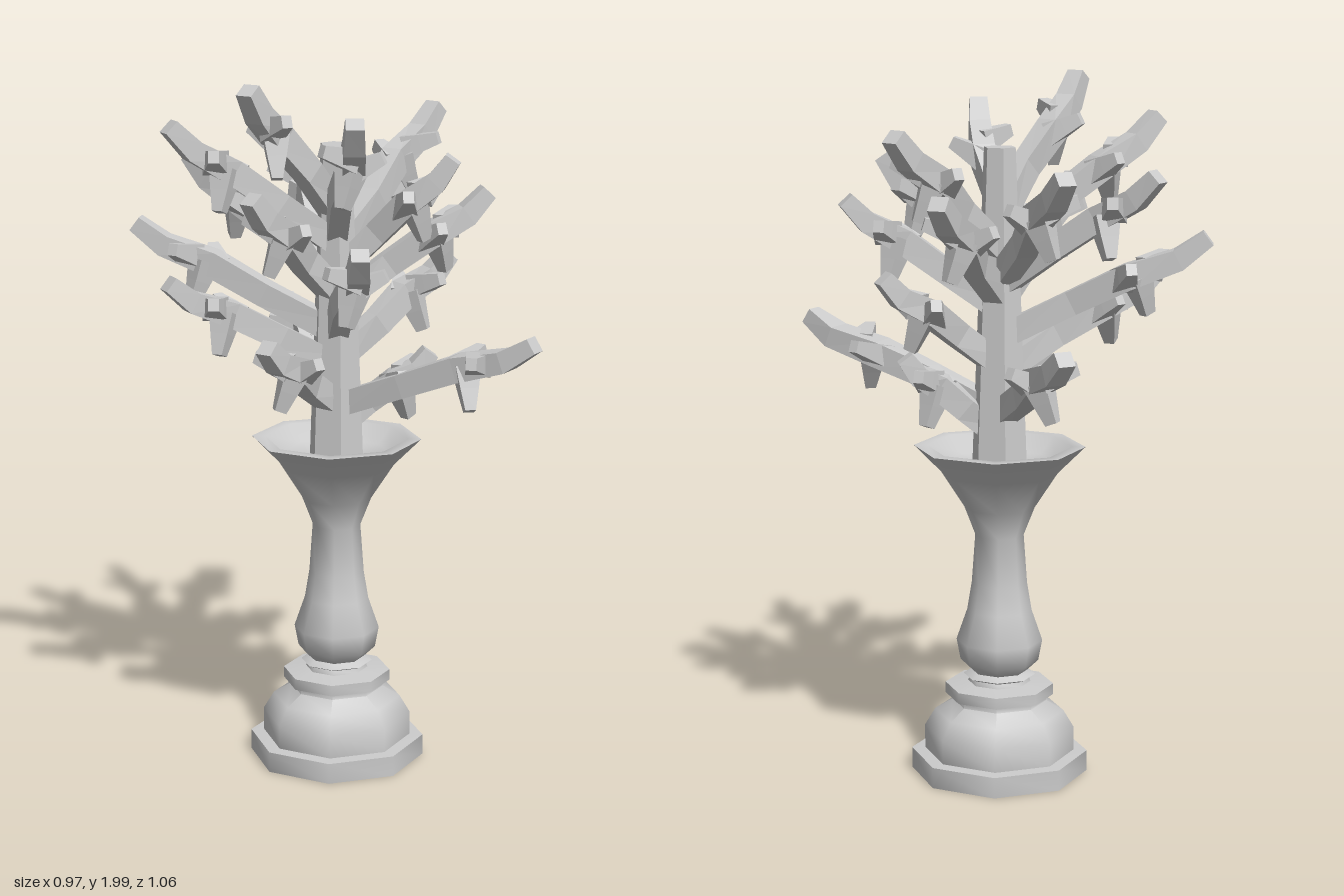
import * as THREE from 'three';
import { toCreasedNormals } from 'three/addons/utils/BufferGeometryUtils.js';

const CX = 0.008, CZ = -0.053; // shared axis of vase and trunk
const UP = new THREE.Vector3(0, 1, 0);
const smooth = new THREE.MeshStandardMaterial({ color: 0xcccccc });
const flat = new THREE.MeshStandardMaterial({ color: 0xcccccc, flatShading: true });

function addMesh(parent, name, geometry, material) {
  const mesh = new THREE.Mesh(geometry, material);
  mesh.name = name;
  parent.add(mesh);
  return mesh;
}

// Limb of rectangular section lofted along a polyline, with half width and half height per point
function limb(points, widths, heights) {
  const pos = [], idx = [], last = points.length - 1;
  points.forEach((p, i) => {
    const dir = points[Math.min(i + 1, last)].clone().sub(points[Math.max(i - 1, 0)]).normalize();
    const side = dir.clone().cross(UP).normalize();
    const up = side.clone().cross(dir);
    for (let k = 0; k < 4; k++) {
      const a = k === 1 || k === 2 ? 1 : -1, b = k < 2 ? -1 : 1;
      const c = p.clone().addScaledVector(side, a * widths[i]).addScaledVector(up, b * heights[i]);
      pos.push(c.x, c.y, c.z);
    }
  });
  for (let i = 0; i < last; i++) {
    for (let k = 0; k < 4; k++) {
      const a = i * 4 + k, b = i * 4 + (k + 1) % 4;
      idx.push(a, b + 4, b, a, a + 4, b + 4);
    }
  }
  const e = last * 4;
  idx.push(0, 1, 2, 0, 2, 3, e, e + 2, e + 1, e, e + 3, e + 2);
  const indexed = new THREE.BufferGeometry();
  indexed.setAttribute('position', new THREE.Float32BufferAttribute(pos, 3));
  indexed.setIndex(idx);
  const geometry = indexed.toNonIndexed();
  geometry.computeVertexNormals();
  return geometry;
}

// Branch from the trunk to a tip, with two side twigs and one hanging twig
function makeBranch(tip, i, wide = 1) {
  const group = new THREE.Group();
  group.name = 'branch';
  const end = new THREE.Vector3(...tip);
  const start = new THREE.Vector3(CX, 0.8 * end.y + 0.02, CZ);
  const out = end.clone().sub(start).setY(0).normalize();
  const side = out.clone().cross(UP);
  const hand = i % 2 ? 1 : -1;
  const at = (t, sideways, lift) => start.clone().lerp(end, t)
    .addScaledVector(side, sideways * hand).addScaledVector(UP, lift);

  // Slight zigzag that sags before lifting at the tip
  const path = [start, at(0.35, 0.008, 0), at(0.62, -0.012, 0), at(0.86, -0.005, -0.02), end];
  addMesh(group, 'branchStem', limb(path,
    [0.028, 0.029, 0.032 * wide, 0.03 * wide, 0.025], [0.034, 0.034, 0.036, 0.03, 0.023]), flat);

  const addTwig = (t, sideways, forward, lift) => {
    const root = at(t, -0.01, -0.008);
    const twigEnd = root.clone().addScaledVector(side, sideways * hand * wide)
      .addScaledVector(out, forward).addScaledVector(UP, lift);
    addMesh(group, 'twig', limb([root, root.clone().lerp(twigEnd, 0.5), twigEnd],
      [0.036, 0.026, 0.015], [0.034, 0.025, 0.017]), flat);
  };
  addTwig(0.72, 0.09, 0.035, 0.03);
  addTwig(0.6, -0.085, 0.03, 0.045);
  addTwig(0.66, 0.03, 0.03, -0.11);
  return group;
}

export function createModel() {
  const model = new THREE.Group();
  model.name = 'vaseWithBranches';

  // Eight-sided turned vase: foot, dome, collar rings, bulb, flared mouth with a shallow bowl
  const profile = [
    [0, 0], [0.253, 0], [0.253, 0.06], [0.215, 0.062], [0.215, 0.13], [0.185, 0.18], [0.135, 0.21],
    [0.135, 0.222], [0.155, 0.228], [0.155, 0.26], [0.09, 0.267], [0.085, 0.28], [0.103, 0.288],
    [0.08, 0.3], [0.112, 0.33], [0.123, 0.39], [0.092, 0.48], [0.079, 0.56], [0.069, 0.7],
    [0.1, 0.78], [0.165, 0.88], [0.243, 0.957], [0.205, 0.957], [0.16, 0.91], [0, 0.9],
  ].map(([r, y]) => new THREE.Vector2(r, y));
  const vase = addMesh(model, 'vase', toCreasedNormals(new THREE.LatheGeometry(profile, 8), 1), smooth);
  vase.position.set(CX, 0, CZ);

  // Tapered six-sided trunk
  const trunk = addMesh(model, 'trunk', new THREE.CylinderGeometry(0.046, 0.085, 1, 6), flat);
  trunk.position.set(CX, 1.3, CZ);
  trunk.rotation.y = Math.PI / 6;

  // Branch tips from the crown down
  const tips = [
    [-0.35, 1.98, 0.01], [-0.18, 1.9, 0.25], [-0.45, 1.87, -0.21], [0.46, 1.86, -0.14],
    [0.19, 1.76, -0.51], [0.46, 1.7, -0.32], [0.2, 1.77, 0.22], [-0.17, 1.74, -0.49],
    [0.36, 1.66, 0.19], [-0.35, 1.69, 0.02], [-0.36, 1.56, -0.5], [-0.17, 1.55, 0.26],
    [-0.46, 1.44, -0.21], [0.36, 1.46, 0.03], [0.16, 1.28, -0.48], [-0.34, 1.29, 0.07],
    [0.21, 1.21, 0.12],
  ];
  tips.forEach((tip, i) => model.add(makeBranch(tip, i)));

  // Broad low branch reaching out at the front
  model.add(makeBranch([0.24, 1.29, 0.51], 1, 1.4));
  return model;
}
